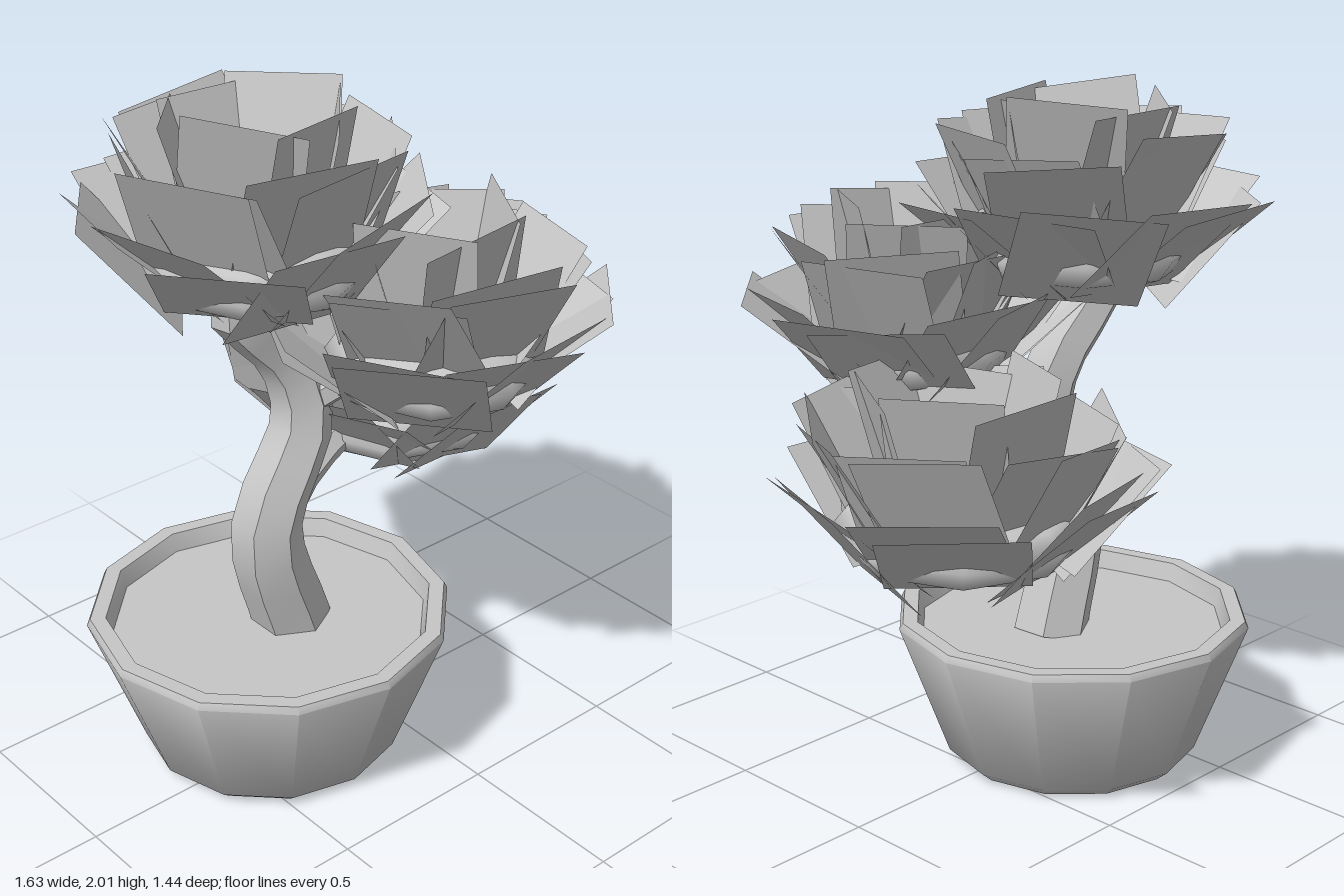
import * as THREE from 'three';
import { toCreasedNormals } from 'three/addons/utils/BufferGeometryUtils.js';

const clay = new THREE.MeshStandardMaterial({ color: 0xc6c6c6, side: THREE.DoubleSide });
clay.name = 'clay grey';

// Small seeded generator for the leaf variation, giving -1..1
function seeded(seed) {
  return () => {
    seed = (seed * 16807) % 2147483647;
    return (seed / 2147483647) * 2 - 1;
  };
}

function add(parent, name, geometry, x = 0, y = 0, z = 0) {
  const mesh = new THREE.Mesh(geometry, clay);
  mesh.name = name;
  mesh.position.set(x, y, z);
  parent.add(mesh);
  return mesh;
}

// Six-sided limb that narrows from r0 to r1 along its path
function limb(points, r0, r1, steps) {
  const curve = new THREE.CatmullRomCurve3(points.map((p) => new THREE.Vector3(...p)));
  const geo = new THREE.TubeGeometry(curve, steps, 1, 6);
  const pos = geo.attributes.position;
  const v = new THREE.Vector3();
  for (let i = 0; i < pos.count; i++) {
    const t = Math.floor(i / 7) / steps;
    const centre = curve.getPointAt(t);
    v.fromBufferAttribute(pos, i).sub(centre).multiplyScalar(r0 + (r1 - r0) * t).add(centre);
    pos.setXYZ(i, v.x, v.y, v.z);
  }
  return toCreasedNormals(geo, 0.6);
}

// Leaf cluster: flattened pad with leaves fanned in six directions, steeper towards the top
function cluster(name, x, y, z, size, seed) {
  const group = new THREE.Group();
  group.name = name;
  group.position.set(x, y, z);
  const rand = seeded(seed);
  const pad = new THREE.SphereGeometry(1, 8, 6);
  pad.scale(0.35 * size, 0.12, 0.35 * size);
  add(group, 'foliagePad', pad, 0, 0.13, 0);

  const rings = [
    { layers: 2, leaf: 0.39, radius: 0.33, height: 0.16, tilt: 0.8 },
    { layers: 2, leaf: 0.36, radius: 0.29, height: 0.29, tilt: 0.5 },
    { layers: 1, leaf: 0.33, radius: 0.19, height: 0.38, tilt: 0.25 },
  ];
  for (const ring of rings) {
    for (let i = 0; i < 6 * ring.layers; i++) {
      const angle = (i * Math.PI) / 3 + 0.22 * rand();
      const r = (ring.radius + 0.03 * rand()) * size;
      const leaf = add(group, 'leaf', new THREE.PlaneGeometry(ring.leaf, ring.leaf),
        Math.sin(angle) * r, ring.height + 0.03 * rand(), Math.cos(angle) * r);
      leaf.rotation.set(ring.tilt + 0.12 * rand(), angle + 0.15 * rand(), 0.15 * rand(), 'YXZ');
    }
  }
  return group;
}

export function createModel() {
  const model = new THREE.Group();
  model.name = 'pottedTree';

  // Pot with bevelled foot, rim and inner wall
  const profile = [[0, 0], [0.345, 0], [0.38, 0.03], [0.53, 0.435], [0.52, 0.455],
    [0.475, 0.455], [0.455, 0.39]].map(([r, h]) => new THREE.Vector2(r, h));
  add(model, 'pot', toCreasedNormals(new THREE.LatheGeometry(profile, 12), 0.8), -0.31, 0, -0.07);

  // Soil
  const soil = new THREE.CircleGeometry(0.46, 12);
  soil.rotateX(-Math.PI / 2);
  add(model, 'soil', soil, -0.31, 0.4, -0.07);

  // Trunk and side branches
  add(model, 'trunk', limb([[-0.25, 0.38, -0.04], [-0.345, 0.74, -0.03], [-0.2, 1.04, -0.04],
    [-0.23, 1.22, -0.06], [-0.41, 1.45, -0.08], [-0.34, 1.58, -0.08]], 0.115, 0.07, 14));
  add(model, 'lowerBranch', limb([[-0.32, 0.7, -0.04], [-0.18, 0.83, -0.07],
    [0.03, 0.89, -0.12], [0.2, 0.88, -0.17]], 0.06, 0.04, 6));
  add(model, 'middleBranch', limb([[-0.21, 1.08, -0.04], [-0.1, 1.19, 0.08],
    [0.03, 1.28, 0.24]], 0.05, 0.035, 5));

  // Foliage
  model.add(
    cluster('topFoliage', -0.31, 1.43, -0.08, 0.97, 11),
    cluster('middleFoliage', 0.03, 1.14, 0.25, 0.88, 47),
    cluster('lowerFoliage', 0.27, 0.76, -0.19, 1.03, 83),
  );
  return model;
}
